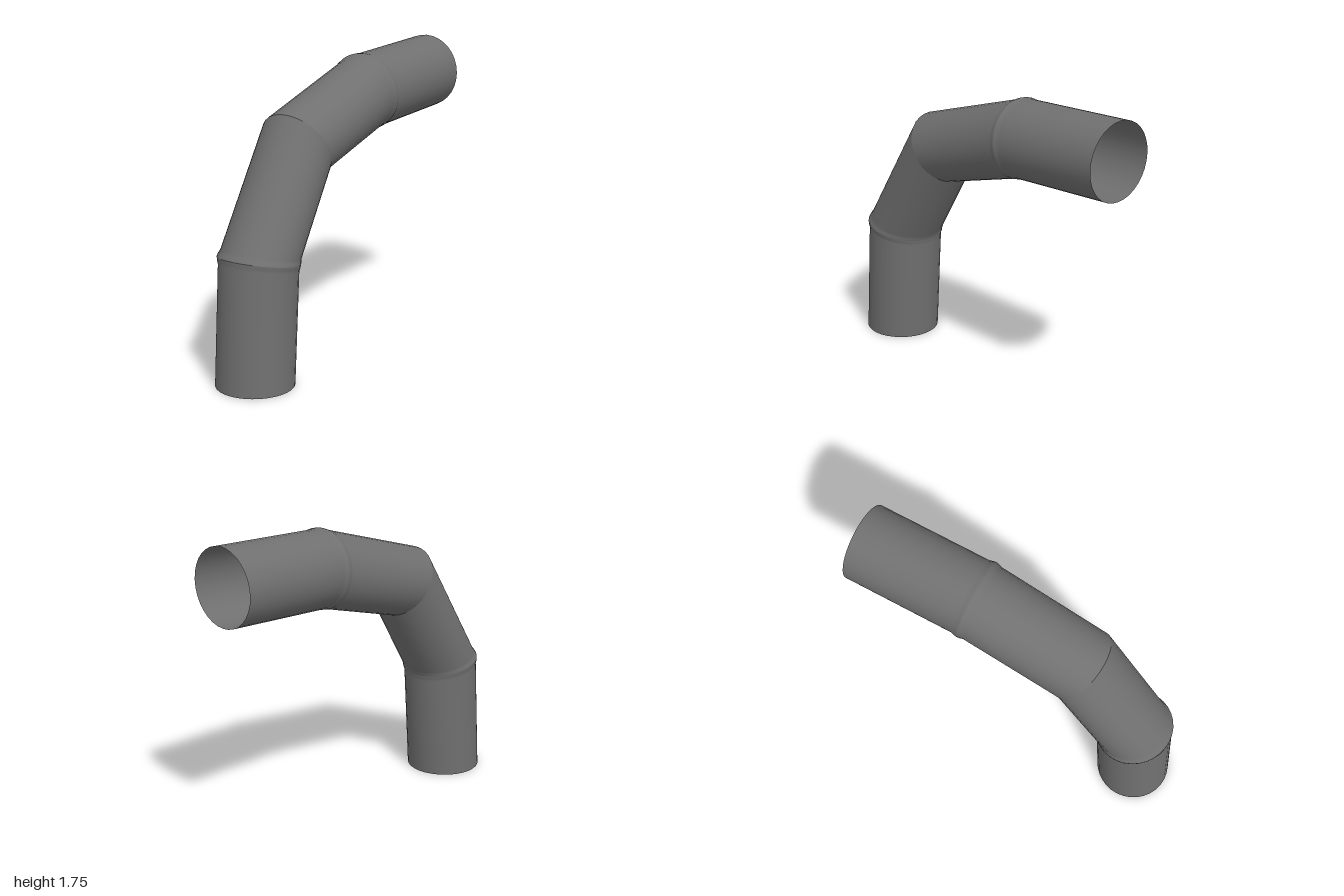
import * as THREE from 'three';

const SIDES = 32;
const RADIUS = 0.223;

// Mitre cuts along the pipe: outer and inner corner of each, as [z, y]
const CUTS = [
  { outer: [1.0, 0], inner: [0.555, 0] },
  { outer: [0.95, 0.745], inner: [0.51, 0.66], lip: true },
  { outer: [0.49, 1.47], inner: [0.25, 1.1] },
  { outer: [-0.27, 1.71], inner: [-0.318, 1.265], lip: true },
  { outer: [-1.0, 1.745], inner: [-1.0, 1.3] },
];
const NAMES = ['lowerPipe', 'lowerElbowPipe', 'upperElbowPipe', 'upperPipe'];

// Swelling at a lipped joint: [distance from the joint, added radius]
const LIP = [[0, 0.009], [0.018, 0.0065], [0.036, 0]];

const material = new THREE.MeshStandardMaterial({ color: 0x707070, side: THREE.DoubleSide });

const corner = ([z, y]) => new THREE.Vector3(0, y, z);

// Elliptical ring between two corners, swollen a little more sideways
function ring(outer, inner, grow) {
  const centre = outer.clone().add(inner).multiplyScalar(0.5);
  const half = outer.clone().sub(centre);
  half.setLength(half.length() + grow * 0.55);
  return Array.from({ length: SIDES }, (_, i) => {
    const a = (i / SIDES) * Math.PI * 2;
    const p = centre.clone().addScaledVector(half, Math.cos(a));
    p.x = Math.sin(a) * (RADIUS + grow);
    return p;
  });
}

// Rings at one end of a pipe, from the joint towards the other end
function endRings(cut, other) {
  const [o1, i1, o2, i2] = [cut.outer, cut.inner, other.outer, other.inner].map(corner);
  const length = (o1.distanceTo(o2) + i1.distanceTo(i2)) / 2;
  const steps = cut.lip ? LIP : [[0, 0]];
  return steps.map(([d, grow]) =>
    ring(o1.clone().lerp(o2, d / length), i1.clone().lerp(i2, d / length), grow));
}

// Open straight pipe between two cuts, smooth around and creased at its ends
function pipe(name, start, end) {
  const rings = [...endRings(start, end), ...endRings(end, start).reverse()];
  const index = [];
  for (let r = 0; r < rings.length - 1; r++) {
    for (let i = 0; i < SIDES; i++) {
      const a = r * SIDES + i, b = r * SIDES + (i + 1) % SIDES;
      index.push(a, b, a + SIDES, b, b + SIDES, a + SIDES);
    }
  }
  const geometry = new THREE.BufferGeometry().setFromPoints(rings.flat());
  geometry.setIndex(index);
  geometry.computeVertexNormals();
  const mesh = new THREE.Mesh(geometry, material);
  mesh.name = name;
  return mesh;
}

export function createModel() {
  const group = new THREE.Group();
  group.name = 'bentPipe';
  NAMES.forEach((name, i) => group.add(pipe(name, CUTS[i], CUTS[i + 1])));
  return group;
}
